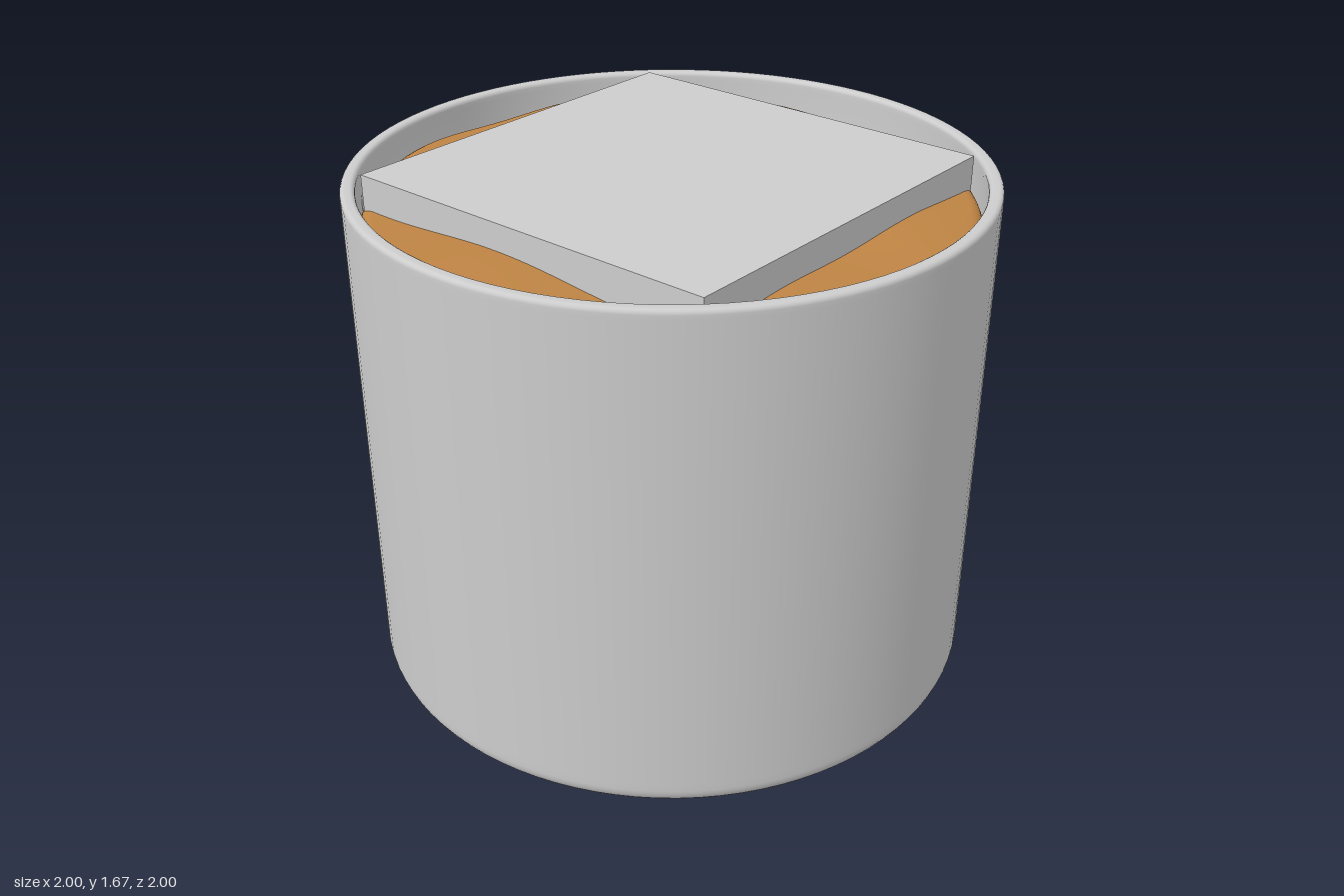
import * as THREE from 'three';
import { mergeVertices } from 'three/addons/utils/BufferGeometryUtils.js';

const HEIGHT = 1.67, INNER = 0.955;

// Quarter-circle of profile points around (cx, cy), from angle a to b in degrees
function arc(cx, cy, r, a, b, steps = 6) {
  return Array.from({ length: steps + 1 }, (_, i) => {
    const t = THREE.MathUtils.degToRad(a + (b - a) * i / steps);
    return new THREE.Vector2(cx + r * Math.cos(t), cy + r * Math.sin(t));
  });
}

// Gentle lumps on the filling's surface
function lumps(x, z) {
  return 0.012 * Math.sin(4.3 * x + 1.7 * z + 0.6) + 0.01 * Math.sin(6.1 * z - 2.9 * x)
    + 0.007 * Math.cos(9 * x + 5 * z);
}

export function createModel() {
  const model = new THREE.Group();
  const shell = new THREE.MeshStandardMaterial({ color: 0xcccccc });
  shell.name = 'light grey';
  const filler = new THREE.MeshStandardMaterial({ color: 0xbf8444 });
  filler.name = 'tan filling';

  const add = (name, geometry, material) => {
    const mesh = new THREE.Mesh(geometry, material);
    mesh.name = name;
    model.add(mesh);
    return mesh;
  };

  // Cup: flat base, rounded foot, straight wall, softened rim and hollow inside
  const profile = [
    new THREE.Vector2(0, 0),
    new THREE.Vector2(0.92, 0),
    ...arc(0.935, 0.065, 0.065, -90, 0, 8),
    new THREE.Vector2(1, 0.09),
    new THREE.Vector2(1, HEIGHT - 0.03),
    ...arc(0.985, HEIGHT - 0.015, 0.015, 0, 90, 4),
    ...arc(INNER + 0.015, HEIGHT - 0.015, 0.015, 90, 180, 4),
    new THREE.Vector2(INNER, HEIGHT - 0.03),
    new THREE.Vector2(INNER, 0.1),
    new THREE.Vector2(0, 0.1),
  ];
  add('cup', new THREE.LatheGeometry(profile, 96), shell);

  // Filling: lumpy disc whose edge rolls down against the wall
  const top = 1.58;
  const fillProfile = [
    new THREE.Vector2(0.953, 1.35),
    ...arc(0.913, top - 0.04, 0.04, 0, 90, 5),
    ...Array.from({ length: 12 }, (_, i) => new THREE.Vector2(0.913 * (1 - (i + 1) / 12), top)),
  ];
  let filling = new THREE.LatheGeometry(fillProfile, 96);
  const p = filling.attributes.position;
  for (let i = 0; i < p.count; i++) {
    if (p.getY(i) > 1.4) p.setY(i, p.getY(i) + lumps(p.getX(i), p.getZ(i)));
  }
  filling.deleteAttribute('uv');
  filling.deleteAttribute('normal');
  filling = mergeVertices(filling);
  filling.computeVertexNormals();
  add('filling', filling, filler);

  // Square block set into the filling, just proud of the rim
  const block = add('squareBlock', new THREE.BoxGeometry(1.33, 0.3, 1.33), shell);
  block.position.y = 1.675 - 0.15;

  return model;
}
